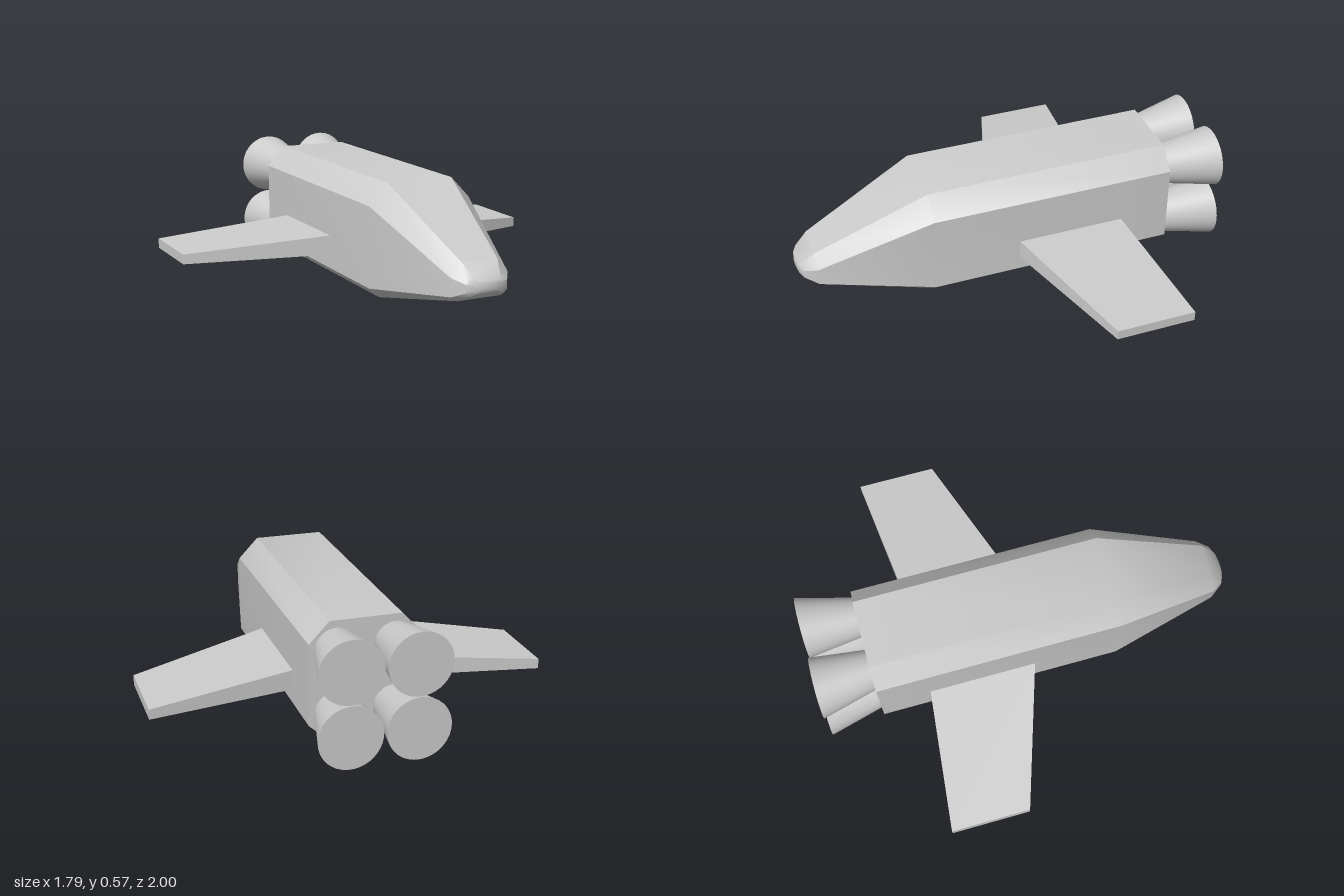
import * as THREE from 'three';
import { toCreasedNormals } from 'three/addons/utils/BufferGeometryUtils.js';

const material = new THREE.MeshStandardMaterial({ color: 0xcccccc });

// Skin a closed solid over rings of [x, y, z] points, counterclockwise seen from the last ring
function loft(rings, crease) {
  const pos = [];
  const n = rings[0].length;
  const tri = (a, b, c) => pos.push(...a, ...b, ...c);
  for (let r = 0; r < rings.length - 1; r++) {
    const a = rings[r], b = rings[r + 1];
    for (let i = 0; i < n; i++) {
      const j = (i + 1) % n;
      tri(a[i], a[j], b[j]);
      tri(a[i], b[j], b[i]);
    }
  }
  const first = rings[0], last = rings[rings.length - 1];
  for (let i = 1; i < n - 1; i++) {
    tri(first[0], first[i + 1], first[i]);
    tri(last[0], last[i], last[i + 1]);
  }
  const geo = new THREE.BufferGeometry();
  geo.setAttribute('position', new THREE.Float32BufferAttribute(pos, 3));
  geo.computeVertexNormals();
  return toCreasedNormals(geo, crease);
}

function addMesh(parent, name, geo) {
  const mesh = new THREE.Mesh(geo, material);
  mesh.name = name;
  parent.add(mesh);
  return mesh;
}

// Eight-sided hull section: heights from bottom to top, half widths of floor, sides and roof
function hullRing(z, [bottom, low, shoulder, top], [wBottom, wSide, wTop]) {
  const half = [[wBottom, bottom], [wSide, low], [wSide, shoulder], [wTop, top]];
  const other = half.map(([x, y]) => [-x, y]).reverse();
  return [...half, ...other].map(([x, y]) => [x, y, z]);
}

// Wing section at a given span: a rectangle in y and z
function wingRing(side, x, y0, y1, zBack, zFront) {
  const ring = [[y0, zBack], [y1, zBack], [y1, zFront], [y0, zFront]];
  if (side < 0) ring.reverse();
  return ring.map(([y, z]) => [side * x, y, z]);
}

export function createModel() {
  const model = new THREE.Group();
  model.name = 'spaceplane';

  // Fuselage with tapering nose
  const heights = [0.05, 0.095, 0.465, 0.56];
  const widths = [0.2, 0.25, 0.16];
  addMesh(model, 'fuselage', loft([
    hullRing(-0.745, heights, widths),
    hullRing(0.405, heights, widths),
    hullRing(0.92, [0.15, 0.17, 0.25, 0.31], [0.105, 0.135, 0.085]),
    hullRing(0.975, [0.178, 0.195, 0.232, 0.26], [0.08, 0.098, 0.065]),
    hullRing(0.993, [0.193, 0.205, 0.228, 0.24], [0.05, 0.06, 0.045]),
    hullRing(1.0, [0.208, 0.213, 0.222, 0.227], [0.015, 0.02, 0.015]),
  ], 0.55));

  // Swept wings
  for (const side of [1, -1]) {
    addMesh(model, side > 0 ? 'leftWing' : 'rightWing', loft([
      wingRing(side, 0.245, 0.16, 0.252, -0.507, 0),
      wingRing(side, 0.895, 0.14, 0.186, -0.578, -0.21),
    ], 0.3));
  }

  // Four flared engine bells, splayed slightly outward
  const engines = new THREE.Group();
  engines.name = 'engines';
  model.add(engines);
  const length = 0.26;
  for (const side of [1, -1]) {
    for (const y of [0.433, 0.145]) {
      const bell = new THREE.CylinderGeometry(0.093, 0.142, length, 40);
      bell.rotateX(Math.PI / 2);
      const p = bell.attributes.position;
      for (let i = 0; i < p.count; i++) {
        p.setX(i, p.getX(i) + side * (0.14 - 0.03 * p.getZ(i) / (length / 2) * 0.3));
      }
      bell.computeBoundingSphere();
      const name = (y > 0.3 ? 'upper' : 'lower') + (side > 0 ? 'Left' : 'Right') + 'Engine';
      addMesh(engines, name, bell).position.set(0, y, -1 + length / 2);
    }
  }
  return model;
}
